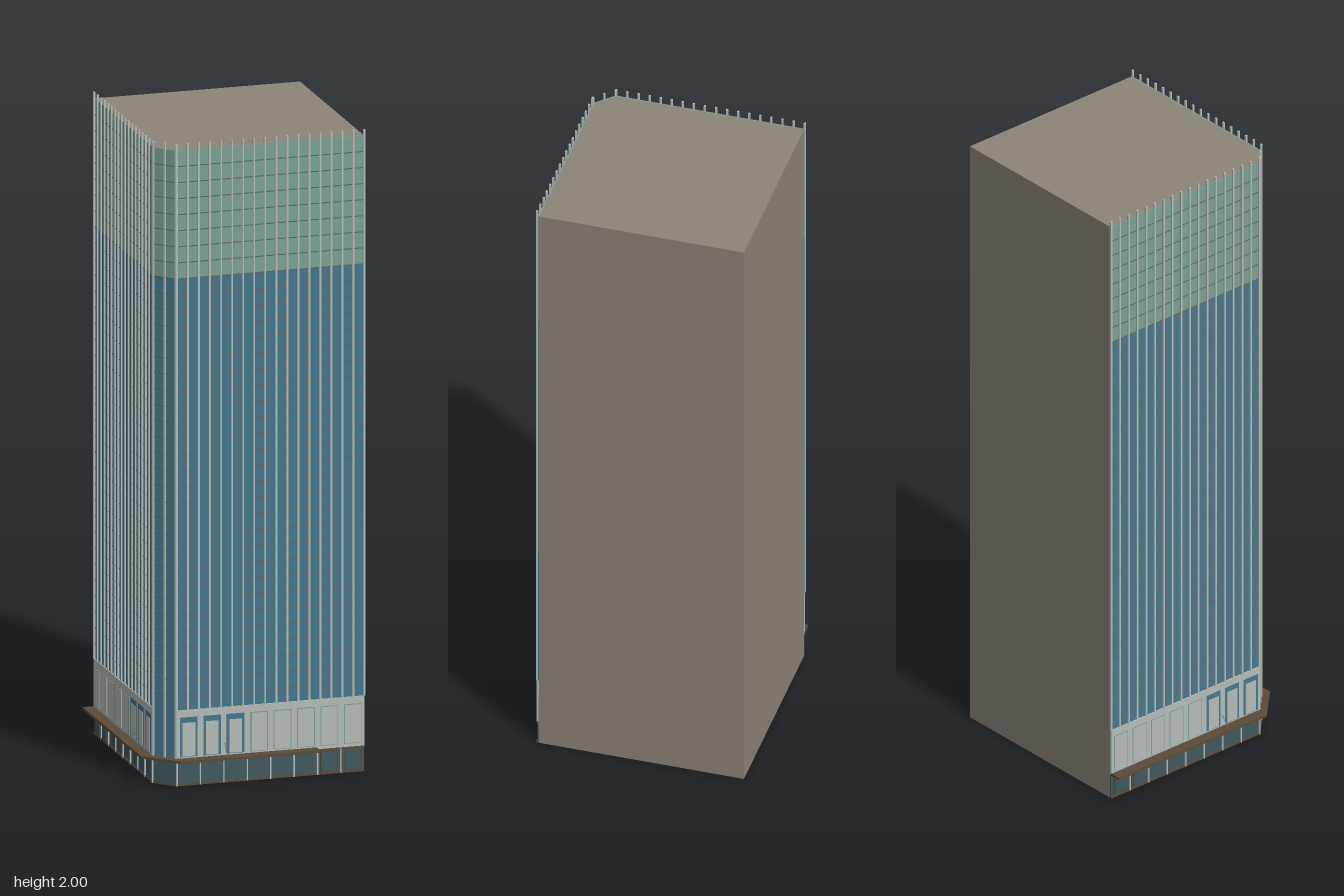
import * as THREE from 'three';

const material = (name, color) => {
  const m = new THREE.MeshStandardMaterial({ color });
  m.name = name;
  return m;
};
const stone = material('warm grey wall', 0x8c8479);
const blue = material('blue glass', 0x44788c);
const green = material('green glass', 0x7aa294);
const pale = material('pale metal', 0xb6bcb9);
const dark = material('dark shop glass', 0x40595f);
const bronze = material('bronze', 0x5c4a38);
const floorLine = material('floor line', 0x5f6664);

const PODIUM = 0.08, TOWER = 0.235, TINT = 1.58, ROOF = 1.98, TOP = 2.0;
const SIDE = 0.59;

// Solid prism from a plan outline given as [x, z] pairs
function prism(name, plan, y0, y1, mat) {
  const shape = new THREE.Shape(plan.map(([x, z]) => new THREE.Vector2(x, z)));
  const geo = new THREE.ExtrudeGeometry(shape, { depth: y1 - y0, bevelEnabled: false });
  geo.rotateX(Math.PI / 2).translate(0, y1, 0);
  const mesh = new THREE.Mesh(geo, mat);
  mesh.name = name;
  return mesh;
}

// One facade: u runs along the wall, z points outward; flip mirrors it end to end
function facade(name, length, bays, flip, hasPodium) {
  const group = new THREE.Group();
  group.name = name;
  const plate = (part, u0, u1, y0, y1, z0, z1, mat) => {
    const mesh = new THREE.Mesh(new THREE.BoxGeometry(u1 - u0, y1 - y0, z1 - z0), mat);
    const u = (u0 + u1) / 2;
    mesh.position.set(flip ? length - u : u, (y0 + y1) / 2, (z0 + z1) / 2);
    mesh.name = part;
    group.add(mesh);
  };

  // Curtain wall in two tints
  const base = hasPodium ? TOWER : PODIUM;
  plate('lowerGlass', 0, length, base, TINT, -0.003, 0.001, blue);
  plate('upperGlass', 0, length, TINT, ROOF, -0.003, 0.001, green);

  // Floor lines
  for (let y = ROOF - 0.05; y > TOWER; y -= 0.05)
    plate('floorLine', 0, length, y - 0.0015, y + 0.0015, 0, 0.002, floorLine);

  // Vertical fins rising past the roof
  for (let i = 0; i <= bays; i++) {
    const u = (length * i) / bays;
    plate('fin', u - 0.003, u + 0.003, base, TOP, 0, 0.006, pale);
  }

  // Ground floor shopfront
  plate('shopGlass', 0, length, 0, PODIUM, -0.003, 0.002, dark);
  plate('plinth', 0, length, 0, 0.006, 0, 0.005, bronze);
  plate('shopHead', 0, length, PODIUM - 0.006, PODIUM, 0, 0.005, bronze);

  if (!hasPodium) return group;

  // Podium wall with recessed-looking window panels
  plate('podiumWall', 0, length, PODIUM, TOWER, -0.003, 0.005, pale);
  const pitch = length / 8;
  for (let i = 0; i < 8; i++) {
    const c = (i + 0.5) * pitch, glazed = i < 3;
    const w = 0.028, side = glazed ? 0.008 : 0.003, head = glazed ? 0.017 : 0.003;
    plate('podiumWindow', c - w, c + w, 0.09, 0.213, 0.004, 0.006, glazed ? blue : green);
    plate('podiumPanel', c - w + side, c + w - side, 0.092, 0.213 - head, 0.004, 0.007, pale);
    plate('shopPier', i * pitch - 0.002, i * pitch + 0.002, 0, PODIUM, 0, 0.006, pale);
    // Bronze framed doors beyond the canopy
    if (i > 5) {
      plate('doorFrame', c - w, c + w, 0.006, 0.074, 0, 0.004, bronze);
      plate('doorGlass', c - w + 0.005, c + w - 0.005, 0.011, 0.069, 0, 0.006, dark);
    }
  }
  return group;
}

// Thin tie rod between two points
function rod(a, b) {
  const path = new THREE.LineCurve3(new THREE.Vector3(...a), new THREE.Vector3(...b));
  const mesh = new THREE.Mesh(new THREE.TubeGeometry(path, 1, 0.001, 6), floorLine);
  mesh.name = 'canopyRod';
  return mesh;
}

export function createModel() {
  const model = new THREE.Group();
  model.name = 'tower';

  // Solid core with one chamfered corner
  model.add(prism('core', [
    [-0.303, -0.34], [0.34, -0.34], [0.34, 0.303], [-0.25, 0.303], [-0.303, 0.25],
  ], 0, ROOF, stone));

  // Glazed front, corner and right side
  const front = facade('frontFacade', SIDE, 17, false, true);
  front.position.set(-0.25, 0, 0.305);
  const corner = facade('cornerFacade', 0.055 * Math.SQRT2, 2, false, false);
  corner.position.set(-0.305, 0, 0.25);
  corner.rotation.y = -Math.PI / 4;
  const side = facade('sideFacade', SIDE, 17, true, true);
  side.position.set(-0.305, 0, -0.34);
  side.rotation.y = -Math.PI / 2;
  model.add(front, corner, side);

  // Canopy wrapping the corner
  model.add(prism('canopy', [
    [-0.308, -0.34], [-0.308, 0.25], [-0.25, 0.308], [0.19, 0.308],
    [0.19, 0.345], [-0.248, 0.345], [-0.345, 0.247], [-0.345, -0.34],
  ], 0.078, 0.086, bronze));
  model.add(rod([-0.1, 0.085, 0.343], [-0.1, 0.125, 0.31]));
  model.add(rod([-0.343, 0.085, 0.1], [-0.31, 0.125, 0.1]));

  return model;
}
